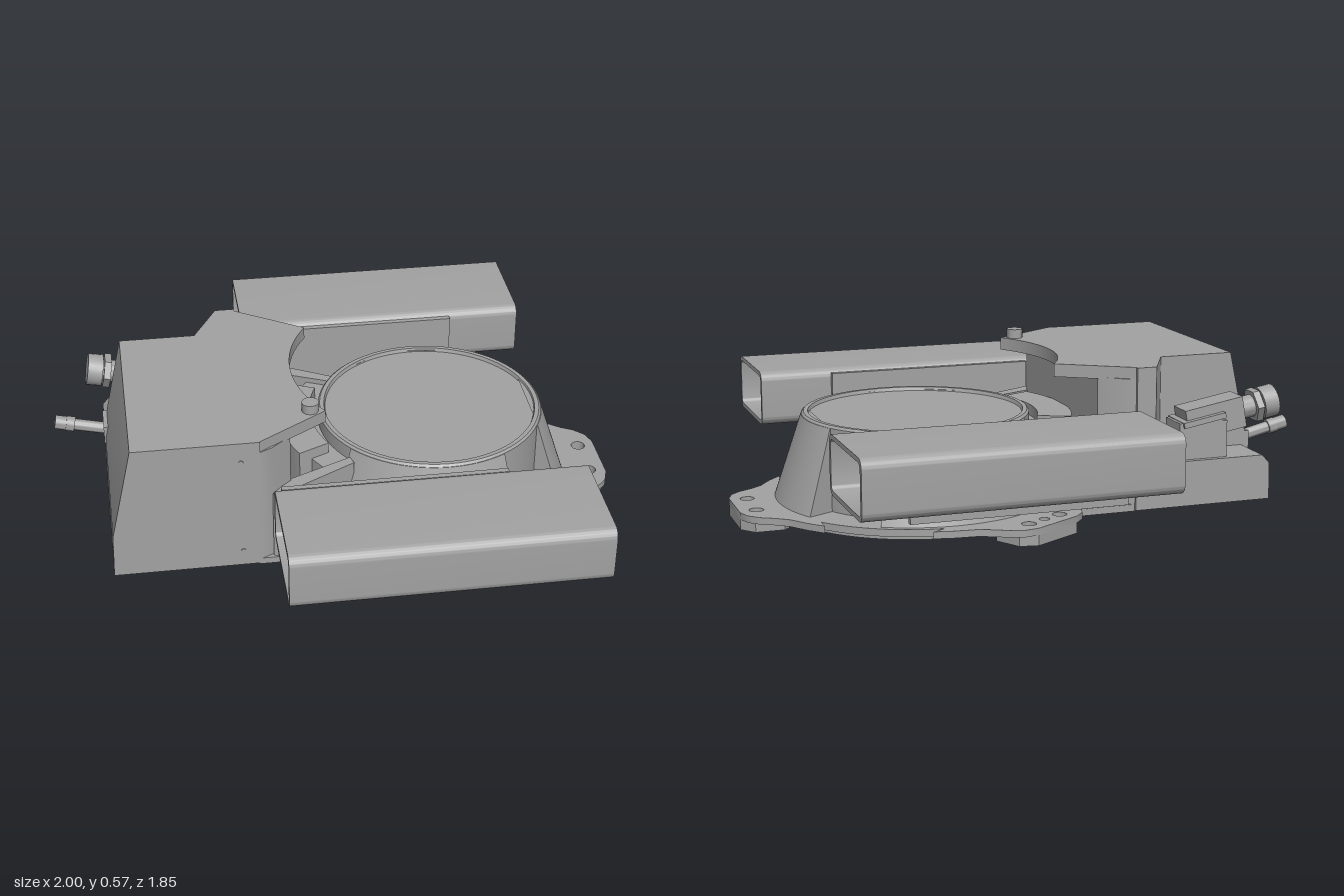
import * as THREE from 'three';
import { toCreasedNormals } from 'three/addons/utils/BufferGeometryUtils.js';

const CX = 0.345; // centre of the round bowl along x
const RAD = Math.PI / 180;

export function createModel() {
  const model = new THREE.Group();
  const grey = new THREE.MeshStandardMaterial({ color: 0xa2a2a2 });
  grey.name = 'machine grey';

  const add = (name, geo, x = 0, y = 0, z = 0, parent = model) => {
    const m = new THREE.Mesh(toCreasedNormals(geo, 0.6), grey);
    m.name = name;
    m.position.set(x, y, z);
    parent.add(m);
    return m;
  };
  const box = (name, x0, x1, y0, y1, z0, z1) =>
    add(name, new THREE.BoxGeometry(x1 - x0, y1 - y0, z1 - z0), (x0 + x1) / 2, (y0 + y1) / 2, (z0 + z1) / 2);
  // Plan outline in (x, z), extruded from y0 to y1
  const plan = (pts) => new THREE.Shape(pts.map(([x, z]) => new THREE.Vector2(x, -z)));
  const rise = (shape, y0, y1) => {
    const g = new THREE.ExtrudeGeometry(shape, { depth: y1 - y0, bevelEnabled: false, curveSegments: 32 });
    return g.rotateX(-Math.PI / 2).translate(0, y0, 0);
  };
  const ringSector = (r0, r1, a0, a1) => {
    const s = new THREE.Shape();
    s.absarc(0, 0, r1, a0 * RAD, a1 * RAD, false);
    s.absarc(0, 0, r0, a1 * RAD, a0 * RAD, true);
    s.closePath();
    return s;
  };
  // Cylinder between two points
  const rod = (name, a, b, r, sides = 24, parent = model) => {
    const p = new THREE.Vector3(...a), q = new THREE.Vector3(...b);
    const d = q.clone().sub(p);
    const m = add(name, new THREE.CylinderGeometry(r, r, d.length(), sides), 0, 0, 0, parent);
    m.position.copy(p.add(q).multiplyScalar(0.5));
    m.quaternion.setFromUnitVectors(new THREE.Vector3(0, 1, 0), d.normalize());
    return m;
  };

  // Base disc and the thin floor below it
  add('baseFlange', new THREE.CylinderGeometry(0.52, 0.52, 0.025, 72), CX, 0.0475, 0);
  add('baseFloor', new THREE.CylinderGeometry(0.5, 0.5, 0.03, 72), CX, 0.035, 0);
  box('baseBridge', -0.32, 0.2, 0.036, 0.06, -0.44, 0.44);

  // Three mounting ears with pads and bolt holes
  for (let i = 0; i < 3; i++) {
    const ear = new THREE.Group();
    ear.name = 'mountingEar';
    ear.position.x = CX;
    ear.rotation.y = i * 120 * RAD;
    model.add(ear);
    const half = [[0.42, 0.36], [0.465, 0.31], [0.51, 0.245], [0.555, 0.21], [0.6, 0.185], [0.635, 0.15], [0.652, 0.1]];
    const outline = [...half, ...half.slice().reverse().map(([x, z]) => [x, -z])];
    const pad = [[0.49, 0.13], [0.51, 0.15], [0.61, 0.15], [0.652, 0.1], [0.652, -0.1], [0.61, -0.15], [0.51, -0.15], [0.49, -0.13]];
    const holes = i ? [-0.08, 0, 0.08] : [-0.08, 0.08];
    [['earPlate', outline, 0.036, 0.06], ['earPad', pad, 0, 0.036]].forEach(([name, pts, y0, y1]) => {
      const s = plan(pts);
      holes.forEach((z) => {
        const h = new THREE.Path();
        h.absarc(0.592, z, z ? 0.025 : 0.018, 0, Math.PI * 2);
        s.holes.push(h);
      });
      add(name, rise(s, y0, y1), 0, 0, 0, ear);
    });
  }

  // Bowl core with raised rim and recessed lid
  const rim = [[0.4, 0.05], [0.4, 0.35], [0.393, 0.358], [0.378, 0.358], [0.374, 0.345], [0, 0.345]];
  add('bowlCore', new THREE.LatheGeometry(rim.map(([x, y]) => new THREE.Vector2(x, y)), 80), CX);

  // Sloping skirt segments, leaving open pockets between them
  [[-28, 28], [60, 143], [-143, -60]].forEach(([a0, a1]) => {
    const g = rise(ringSector(0.385, 0.5, a0, a1), 0.058, 0.35);
    const p = g.attributes.position;
    for (let i = 0; i < p.count; i++) {
      const r = Math.hypot(p.getX(i), p.getZ(i));
      if (r > 0.45 && p.getY(i) > 0.2) {
        const k = 0.402 / r;
        p.setX(i, p.getX(i) * k);
        p.setZ(i, p.getZ(i) * k);
      }
    }
    g.computeVertexNormals();
    add('bowlSkirt', g, CX);
  });

  // Stepped saddle between the bowl and the housing
  add('saddle', rise(ringSector(0.39, 0.5, 140, 220), 0.055, 0.3), CX);
  add('saddleStep', rise(ringSector(0.43, 0.55, 155, 205), 0.055, 0.34), CX);

  // Housing with sloped rear face
  const side = new THREE.Shape([[-0.82, 0.04], [-0.31, 0.04], [-0.31, 0.54], [-0.74, 0.54], [-0.815, 0.2]]
    .map(([x, y]) => new THREE.Vector2(x, y)));
  add('housing', new THREE.ExtrudeGeometry(side, { depth: 0.72, bevelEnabled: false }), 0, 0, -0.28);
  add('housingCorner', rise(plan([[-0.47, -0.28], [-0.38, -0.45], [-0.31, -0.45], [-0.31, -0.28]]), 0.04, 0.54));
  const low = new THREE.Shape([[-0.82, 0.04], [-0.38, 0.04], [-0.38, 0.2], [-0.79, 0.2], [-0.817, 0.17]]
    .map(([x, y]) => new THREE.Vector2(x, y)));
  add('connectorShelf', new THREE.ExtrudeGeometry(low, { depth: 0.17, bevelEnabled: false }), 0, 0, -0.45);
  add('housingNeck', rise(plan([[-0.32, 0.44], [-0.31, 0.44], [-0.27, 0.42], [-0.2, 0.36],
    [-0.2, -0.36], [-0.27, -0.42], [-0.31, -0.44], [-0.32, -0.44]]), 0.04, 0.5));

  // Overhanging cover with a round cut-out
  const cover = new THREE.Shape();
  const a = Math.asin(0.28 / 0.5);
  cover.moveTo(-0.315, -0.44);
  cover.lineTo(CX - 0.5 * Math.cos(a), -0.28);
  cover.absarc(CX, 0, 0.5, Math.PI + a, Math.PI - a, true);
  cover.lineTo(-0.315, 0.44);
  cover.closePath();
  add('cover', rise(cover, 0.495, 0.54));
  add('coverKnob', new THREE.CylinderGeometry(0.029, 0.029, 0.07, 24), -0.12, 0.538, 0.27);

  // Small cover screws on the housing front
  [0.1, 0.465].forEach((y) => rod('coverScrew', [-0.375, y, 0.435], [-0.375, y, 0.443], 0.008, 12));

  for (const s of [1, -1]) {
    // Fork arms reaching from the housing to the bowl
    const arm = [[-0.27, 0.43], [-0.24, 0.435], [0.03, 0.285], [0.02, 0.25], [-0.2, 0.35]];
    const pts = arm.map(([x, z]) => [x, z * s]);
    add('forkArm', rise(plan(pts), 0.055, 0.32));

    // Side plate with its pins and bolts
    box('sidePlate', -0.25, 0.52, 0.085, 0.4, s * 0.515 - 0.01, s * 0.515 + 0.01);
    rod('innerPin', [-0.21, 0.155, s * 0.38], [-0.21, 0.155, s * 0.51], 0.035);
    rod('innerPin', [0.395, 0.155, s * 0.44], [0.395, 0.155, s * 0.51], 0.035);
    [-0.21, 0.395].forEach((x) => rod('sideBolt', [x, 0.155, s * 0.52], [x, 0.155, s * 0.57], 0.029));

    // Hollow rectangular fork tube
    const roundRect = (path, w, h, r) => {
      path.moveTo(w - r, -h);
      path.absarc(w - r, -h + r, r, -Math.PI / 2, 0);
      path.absarc(w - r, h - r, r, 0, Math.PI / 2);
      path.absarc(-w + r, h - r, r, Math.PI / 2, Math.PI);
      path.absarc(-w + r, -h + r, r, Math.PI, Math.PI * 1.5);
      path.closePath();
      return path;
    };
    const tube = roundRect(new THREE.Shape(), 0.2, 0.1, 0.034);
    tube.holes.push(roundRect(new THREE.Path(), 0.182, 0.084, 0.02));
    const g = new THREE.ExtrudeGeometry(tube, { depth: 1.06, bevelEnabled: false, curveSegments: 8 });
    add('forkTube', g.rotateY(Math.PI / 2), -0.275, 0.315, s * 0.725);
  }

  // Cable connector with ribbed gland, on the shelf
  const plug = new THREE.Group();
  plug.name = 'cableConnector';
  plug.position.set(-0.82, 0.37, -0.37);
  plug.rotation.z = -10 * RAD;
  model.add(plug);
  add('connectorBody', new THREE.BoxGeometry(0.22, 0.11, 0.1), 0.2, 0, 0, plug);
  add('connectorHood', new THREE.BoxGeometry(0.14, 0.08, 0.12), 0.25, -0.04, 0, plug);
  add('connectorLatch', new THREE.BoxGeometry(0.16, 0.02, 0.14), 0.25, 0.01, 0, plug);
  rod('glandNeck', [0, 0, 0], [0.12, 0, 0], 0.04, 24, plug);
  rod('glandNut', [0.015, 0, 0], [0.04, 0, 0], 0.062, 6, plug);
  rod('glandCap', [-0.045, 0, 0], [0.01, 0, 0], 0.058, 24, plug);
  box('connectorFoot', -0.66, -0.48, 0.19, 0.33, -0.43, -0.31);

  // Short hose fitting on the sloped face
  box('fittingBlock', -0.82, -0.735, 0.18, 0.25, -0.28, -0.165);
  rod('hoseStem', [-0.79, 0.21, -0.215], [-0.94, 0.245, -0.215], 0.021);
  rod('hoseCollar', [-0.925, 0.242, -0.215], [-0.955, 0.249, -0.215], 0.027);
  rod('hoseTip', [-0.95, 0.248, -0.215], [-0.994, 0.258, -0.215], 0.025);
  return model;
}
